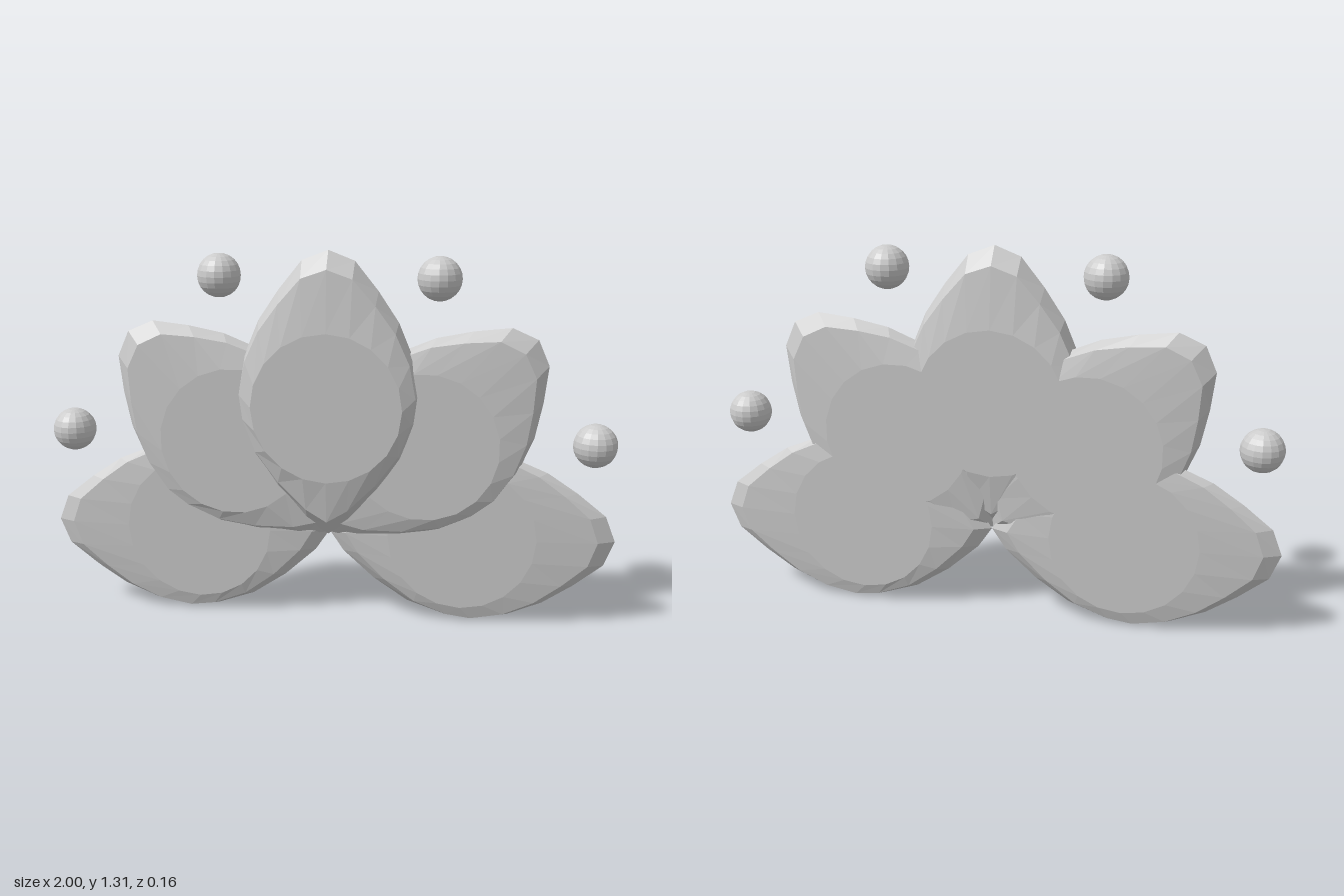
import * as THREE from 'three';

// Half outline of a petal, base to tip: [half width, distance from base]
const OUTLINE = [
  [0, 0], [0.075, 0.05], [0.175, 0.16], [0.255, 0.28], [0.3, 0.41], [0.312, 0.51],
  [0.29, 0.64], [0.24, 0.76], [0.17, 0.865], [0.09, 0.965], [0, 1],
];
const LAST = OUTLINE.length - 1;

const rim = OUTLINE.map(([w, t]) => [w * 0.97, 0.06 + t * 0.88]);
const plateau = OUTLINE.map((_, i) => {
  const a = (i / LAST) * Math.PI;
  return [0.26 * Math.sin(a), 0.47 - 0.26 * Math.cos(a)];
});
const centre = OUTLINE.map(() => [0, 0.47]);

// Cushion-shaped petal: closed rings stacked from the back to the front
function petalGeometry(halfDepth) {
  const layers = [
    [centre, -1], [plateau, -1], [rim, -0.7], [OUTLINE, 0],
    [rim, 0.7], [plateau, 1], [centre, 1],
  ];
  const positions = [];
  const indices = [];
  const n = LAST * 2;
  for (const [half, z] of layers) {
    for (let j = 0; j < n; j++) {
      const [w, t] = half[j <= LAST ? j : n - j];
      positions.push(j <= LAST ? w : -w, t, z * halfDepth);
    }
  }
  for (let k = 0; k < layers.length - 1; k++) {
    for (let j = 0; j < n; j++) {
      const a = k * n + j;
      const b = k * n + ((j + 1) % n);
      if (k > 0) indices.push(a, b, b + n);
      if (k < layers.length - 2) indices.push(a, b + n, a + n);
      else if (k === 0) indices.push(a, b + n, a + n);
    }
  }
  const geometry = new THREE.BufferGeometry();
  geometry.setAttribute('position', new THREE.Float32BufferAttribute(positions, 3));
  geometry.setIndex(indices);
  geometry.computeVertexNormals();
  return geometry;
}

export function createModel() {
  const model = new THREE.Group();
  model.name = 'lotusOrnament';
  const material = new THREE.MeshStandardMaterial({ color: 0xcccccc, flatShading: true });

  const add = (name, geometry, x, y, z, turn = 0) => {
    const mesh = new THREE.Mesh(geometry, material);
    mesh.name = name;
    mesh.position.set(x, y, z);
    mesh.rotation.z = turn;
    model.add(mesh);
  };

  // Five petals fan out from one point, with their backs level
  const middle = petalGeometry(0.054);
  const lower = petalGeometry(0.04);
  add('centrePetal', petalGeometry(0.08), 0, 0.32, 0);

  // Beads floating between the petals
  const bead = new THREE.SphereGeometry(0.075, 16, 12);

  for (const [side, s] of [['left', 1], ['right', -1]]) {
    add(`${side}MiddlePetal`, middle, 0, 0.32, -0.026, -s * Math.PI / 4);
    add(`${side}LowerPetal`, lower, 0, 0.32, -0.04, -s * Math.PI / 2);
    add(`${side}UpperBead`, bead, s * 0.373, 1.23, 0);
    add(`${side}LowerBead`, bead, s * 0.91, 0.675, 0);
  }
  return model;
}
